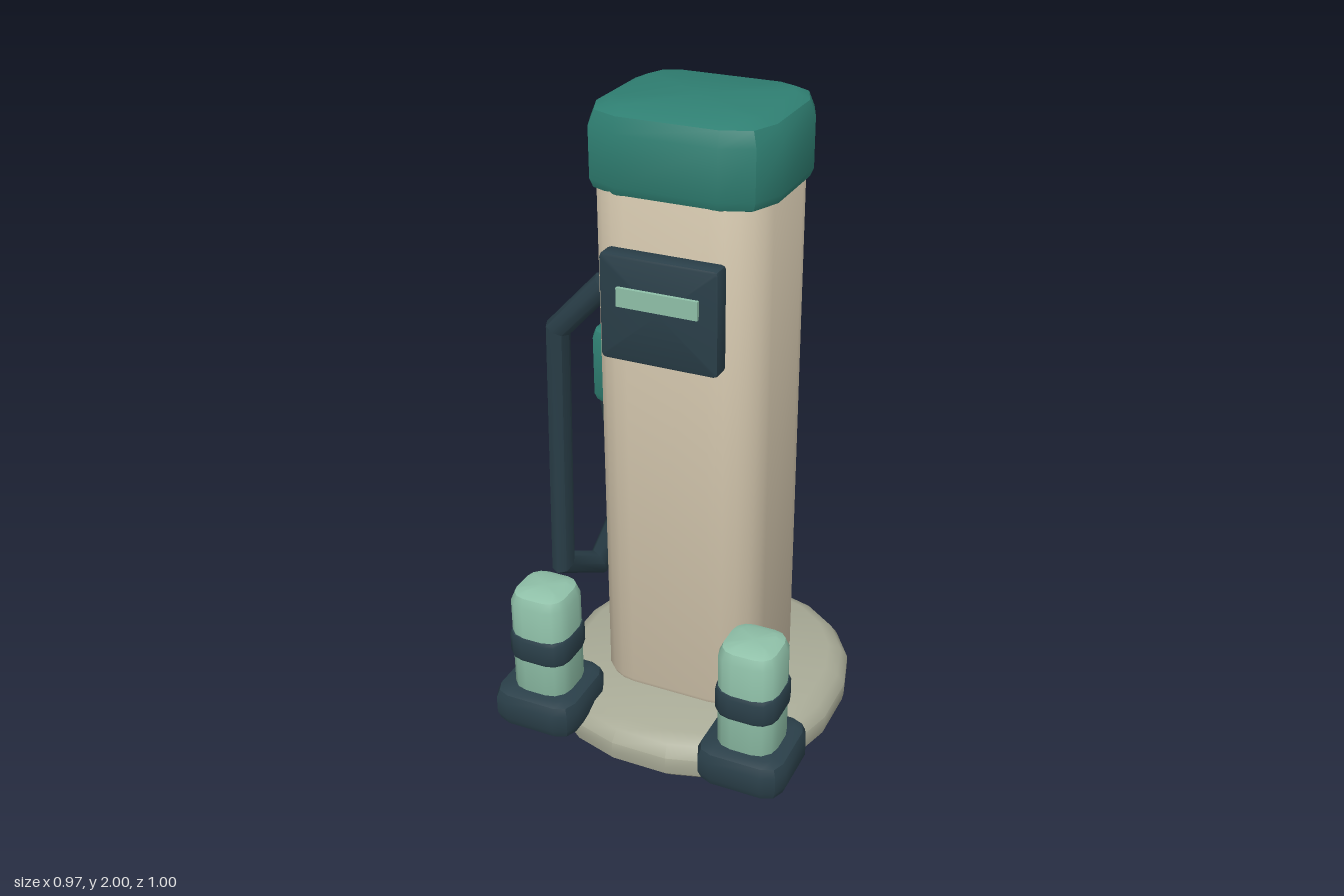
import * as THREE from 'three';
import { toCreasedNormals } from 'three/addons/utils/BufferGeometryUtils.js';

const mat = (name, color) => {
  const m = new THREE.MeshStandardMaterial({ color });
  m.name = name;
  return m;
};

// Closed skin over a stack of rings with the same number of points
function skin(rings, crease = 0.7) {
  const n = rings[0].length, pos = [], index = [];
  rings.forEach(r => r.forEach(p => pos.push(p.x, p.y, p.z)));
  const centre = r => r.reduce((s, p) => s.add(p), new THREE.Vector3()).divideScalar(n);
  const last = rings.length - 1, bottom = n * rings.length, top = bottom + 1;
  [rings[0], rings[last]].forEach(r => pos.push(...centre(r).toArray()));
  for (let i = 0; i < n; i++) {
    const j = (i + 1) % n;
    for (let k = 0; k < last; k++) {
      const a = k * n + i, b = k * n + j;
      index.push(a, b, b + n, a, b + n, a + n);
    }
    index.push(bottom, j, i, top, last * n + i, last * n + j);
  }
  const g = new THREE.BufferGeometry();
  g.setAttribute('position', new THREE.Float32BufferAttribute(pos, 3));
  g.setIndex(index);
  return toCreasedNormals(g, crease);
}

// Rounded rectangle in plan, at height y
function roundRect(w, d, r, seg, y) {
  const pts = [];
  for (let q = 0; q < 4; q++) {
    const cx = (q === 0 || q === 3 ? 1 : -1) * (w / 2 - r);
    const cz = (q < 2 ? -1 : 1) * (d / 2 - r);
    for (let i = 0; i <= seg; i++) {
      const t = (q + i / seg) * Math.PI / 2;
      pts.push(new THREE.Vector3(cx + r * Math.cos(t), y, cz - r * Math.sin(t)));
    }
  }
  return pts;
}

// Block with rounded corners and bevelled top and bottom edges
function block(w, d, y0, y1, r, seg, bevelLow, bevelHigh = bevelLow) {
  const layers = [
    [y0, bevelLow], [y0 + bevelLow * 0.3, bevelLow * 0.3], [y0 + bevelLow, 0],
    [y1 - bevelHigh, 0], [y1 - bevelHigh * 0.3, bevelHigh * 0.3], [y1, bevelHigh],
  ];
  return skin(layers.map(([y, s]) =>
    roundRect(w - 2 * s, d - 2 * s, Math.max(r - s, 0.008), seg, y)));
}

// Tube along straight segments with mitred joints
function mitredTube(points, radius, sides) {
  const dirs = points.slice(1).map((p, i) => p.clone().sub(points[i]).normalize());
  const u = new THREE.Vector3(0, 0, 1).cross(dirs[0]).normalize();
  const v = dirs[0].clone().cross(u);
  let ring = Array.from({ length: sides }, (_, i) => {
    const t = i / sides * Math.PI * 2;
    return points[0].clone().addScaledVector(u, radius * Math.cos(t))
      .addScaledVector(v, radius * Math.sin(t));
  });
  const rings = [ring];
  dirs.forEach((d, k) => {
    const normal = d.clone().add(dirs[k + 1] ?? d).normalize();
    ring = ring.map(p => p.clone().addScaledVector(
      d, points[k + 1].clone().sub(p).dot(normal) / d.dot(normal)));
    rings.push(ring);
  });
  return skin(rings, 0.85);
}

export function createModel() {
  const teal = mat('teal', 0x2f7f72);
  const beige = mat('beige', 0xd3c6ad);
  const dark = mat('dark slate', 0x2a3f49);
  const mint = mat('mint', 0x8fc0a8);
  const stone = mat('stone', 0xa9ab97);

  const model = new THREE.Group();
  model.name = 'chargingStation';
  const add = (name, geometry, material, x = 0, y = 0, z = 0, parent = model) => {
    const m = new THREE.Mesh(geometry, material);
    m.name = name;
    m.position.set(x, y, z);
    parent.add(m);
    return m;
  };

  // Plinth: soft-cornered twenty-sided disc
  const power = c => Math.sign(c) * Math.abs(c) ** 0.89;
  const plinthRing = (y, s) => Array.from({ length: 20 }, (_, i) => {
    const t = (i + 0.5) / 20 * Math.PI * 2;
    return new THREE.Vector3(0.46 * s * power(Math.cos(t)), y, -0.472 * s * power(Math.sin(t)));
  });
  add('plinth', skin([[0, 0.85], [0.06, 0.99], [0.085, 1], [0.12, 1], [0.155, 0.95], [0.175, 0.865]]
    .map(([y, s]) => plinthRing(y, s)), 0.6), stone, 0.006, 0, -0.033);

  // Column and its cap
  add('column', block(0.51, 0.472, 0.17, 1.8, 0.13, 5, 0.02), beige, 0.005, 0, -0.03);
  add('cap', block(0.556, 0.496, 1.76, 2, 0.13, 2, 0.035, 0.06), teal, 0.007, 0, -0.032);

  // Display panel, bevelled toward the front
  const panel = add('displayPanel', block(0.35, 0.31, 0, 0.06, 0.014, 2, 0.008), dark, 0.005, 1.47, 0.2);
  panel.rotation.x = Math.PI / 2;
  add('displayStrip', new THREE.BoxGeometry(0.24, 0.055, 0.012), mint, 0.005, 1.508, 0.265);

  // Cable from the column, looping under and up to the connector
  const path = [
    [-0.25, 1.45, 0.07], [-0.415, 1.275, 0.062], [-0.452, 0.43, 0.03],
    [-0.425, 0.325, -0.16], [-0.325, 0.59, -0.185], [-0.33, 1.03, -0.09],
  ].map(p => new THREE.Vector3(...p));
  add('cable', mitredTube(path, 0.037, 8), dark);
  add('connector', block(0.14, 0.146, 1, 1.245, 0.045, 2, 0.03), teal, -0.295, 0, -0.092);

  // Guard posts in front
  for (const [side, x] of [['right', -0.327], ['left', 0.343]]) {
    const post = new THREE.Group();
    post.name = side + 'GuardPost';
    post.position.set(x, 0, 0.362);
    model.add(post);
    add('postFoot', block(0.276, 0.276, 0.12, 0.245, 0.06, 2, 0.035), dark, 0, 0, 0, post);
    add('postShaft', block(0.184, 0.184, 0.2, 0.582, 0.06, 3, 0.04), mint, 0, 0, 0, post);
    add('postBand', block(0.196, 0.196, 0.35, 0.44, 0.06, 3, 0.015), dark, 0, 0, 0, post);
  }
  return model;
}
